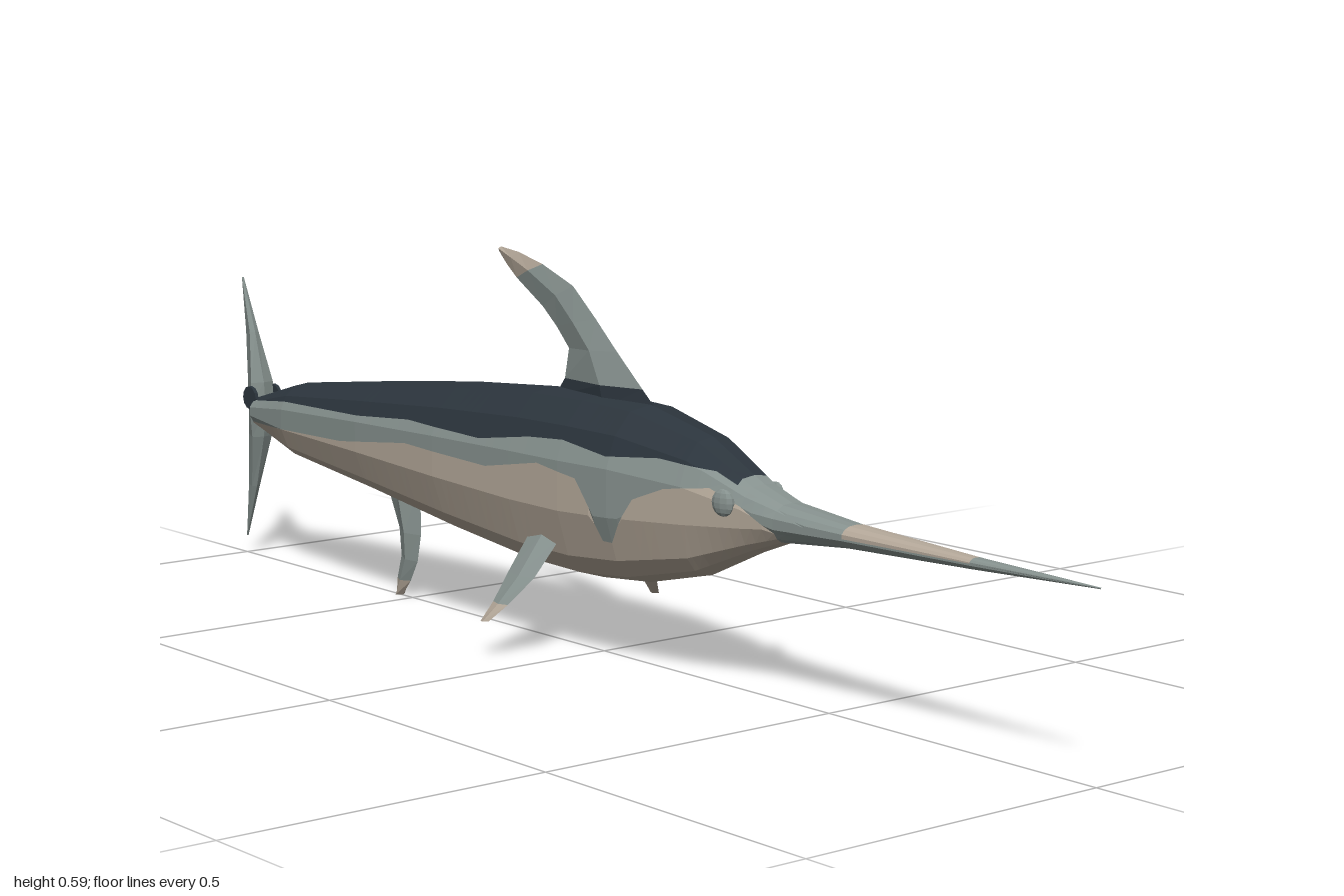
import * as THREE from 'three';

const material = (name, color) => Object.assign(new THREE.MeshStandardMaterial({ color, flatShading: true }), { name });

// Piecewise-linear lookup: rows of [key, value...], keys descending
function sample(rows, key, col) {
  let i = 0;
  while (i < rows.length - 2 && key < rows[i + 1][0]) i++;
  const a = rows[i], b = rows[i + 1];
  const t = THREE.MathUtils.clamp((key - a[0]) / (b[0] - a[0]), 0, 1);
  return a[col] + (b[col] - a[col]) * t;
}

// Body stations: z, top y, bottom y, half width
const BODY = [
  [1, 0.268, 0.266, 0.001], [0.78, 0.273, 0.257, 0.013], [0.55, 0.283, 0.25, 0.027],
  [0.42, 0.295, 0.238, 0.037], [0.36, 0.314, 0.215, 0.045], [0.25, 0.368, 0.165, 0.063],
  [0.11, 0.398, 0.132, 0.085], [0, 0.402, 0.122, 0.09], [-0.12, 0.4, 0.125, 0.09],
  [-0.32, 0.385, 0.148, 0.088], [-0.55, 0.36, 0.178, 0.076], [-0.8, 0.33, 0.205, 0.055],
  [-0.93, 0.293, 0.24, 0.034], [-0.95, 0.268, 0.266, 0.001],
];
// Half cross-section from back to belly: height, width (both -1..1)
const SECTION = [[1, 0], [0.95, 0.47], [0.7, 0.81], [0.34, 1], [-0.2, 1], [-0.7, 0.77], [-0.9, 0.53], [-1, 0]];
// Lower edge of the dark back, and lower edge of the grey flank: z, y
const BACK_EDGE = [
  [1, 0.266], [0.5, 0.266], [0.36, 0.305], [0.3, 0.328], [0.2, 0.336], [0.1, 0.328], [0, 0.34],
  [-0.08, 0.335], [-0.2, 0.318], [-0.4, 0.322], [-0.55, 0.31], [-0.8, 0.302], [-0.95, 0.285],
];
const FLANK_EDGE = [
  [1, 0.262], [0.42, 0.255], [0.36, 0.285], [0.3, 0.305], [0.22, 0.295], [0.16, 0.272], [0.13, 0.23],
  [0.11, 0.2], [0.09, 0.2], [0.07, 0.25], [0.04, 0.288], [-0.05, 0.3], [-0.18, 0.278],
  [-0.4, 0.285], [-0.6, 0.262], [-0.95, 0.25],
];

// Collects faces by material and turns them into one mesh per colour
class Part {
  constructor(name) { this.name = name; this.bins = new Map(); }
  quad(mat, a, b, c, d) {
    if (!this.bins.has(mat)) this.bins.set(mat, []);
    const list = this.bins.get(mat);
    for (const tri of [[a, b, c], [a, c, d]]) {
      if (new THREE.Triangle(...tri).getArea() > 1e-9) tri.forEach((p) => list.push(p.x, p.y, p.z));
    }
  }
  build() {
    const group = new THREE.Group();
    group.name = this.name;
    for (const [mat, list] of this.bins) {
      const g = new THREE.BufferGeometry();
      g.setAttribute('position', new THREE.Float32BufferAttribute(list, 3));
      g.computeVertexNormals();
      const mesh = new THREE.Mesh(g, mat);
      mesh.name = `${this.name} ${mat.name}`;
      group.add(mesh);
    }
    return group;
  }
}

// Fin lofted through diamond sections, listed from bottom to top:
// [lead z, lead y, trail z, trail y, half thickness, x]; mats gives one colour per span
function fin(name, rows, mats, thickest = 0.45, side = 1) {
  const part = new Part(name);
  const rings = rows.map(([lz, ly, tz, ty, t, x = 0]) => {
    const mz = lz + (tz - lz) * thickest, my = ly + (ty - ly) * thickest, cx = x * side;
    return [[cx, ly, lz], [cx + t, my, mz], [cx, ty, tz], [cx - t, my, mz]].map((p) => new THREE.Vector3(...p));
  });
  for (let i = 0; i < rings.length - 1; i++) {
    for (let k = 0; k < 4; k++) {
      const n = (k + 1) % 4;
      part.quad(mats[i], rings[i][k], rings[i][n], rings[i + 1][n], rings[i + 1][k]);
    }
  }
  part.quad(mats[0], ...[...rings[0]].reverse());
  part.quad(mats[mats.length - 1], ...rings[rings.length - 1]);
  return part.build();
}

export function createModel() {
  const dark = material('dark back', 0x2c353d);
  const grey = material('grey flank', 0x87928f);
  const cream = material('cream belly', 0xb4a899);
  const model = new THREE.Group();
  model.name = 'swordfish';

  // Body and bill: each colour zone is the section clamped between two edge lines
  const body = new Part('body');
  const stations = new Set([...BODY, ...BACK_EDGE, ...FLANK_EDGE].map((r) => r[0]));
  for (let z = 0.5; z > -0.93; z -= 0.02) stations.add(Math.round(z * 100) / 100);
  stations.add(0.34);
  const zs = [...stations].sort((a, b) => b - a);

  const zonePoints = (z, zone) => {
    const top = sample(BODY, z, 1), bottom = sample(BODY, z, 2), width = sample(BODY, z, 3);
    const mid = (top + bottom) / 2, half = (top - bottom) / 2;
    const level = (rows) => THREE.MathUtils.clamp((sample(rows, z, 1) - mid) / half, -1, 1);
    const back = level(BACK_EDGE), flank = Math.min(level(FLANK_EDGE), back);
    const [lo, hi] = [[-1, flank], [flank, back], [back, 1]][zone];
    return SECTION.map(([v]) => {
      const h = THREE.MathUtils.clamp(v, lo, hi);
      return new THREE.Vector3(width * sample(SECTION, h, 1), mid + half * h, z);
    }).reverse();
  };
  const zoneColour = (z, zone) => {
    if (zone === 2) return z < 0.34 ? dark : z > 0.55 && z < 0.78 ? cream : grey;
    return zone === 1 || z > 0.42 ? grey : cream;
  };
  const mirror = (p) => new THREE.Vector3(-p.x, p.y, p.z);
  for (let zone = 0; zone < 3; zone++) {
    for (let i = 0; i < zs.length - 1; i++) {
      const a = zonePoints(zs[i], zone), b = zonePoints(zs[i + 1], zone);
      const mat = zoneColour((zs[i] + zs[i + 1]) / 2, zone);
      for (let k = 0; k < a.length - 1; k++) {
        const q = [a[k], b[k], b[k + 1], a[k + 1]];
        body.quad(mat, ...q);
        body.quad(mat, ...q.map(mirror).reverse());
      }
    }
  }
  model.add(body.build());

  // Swept dorsal fin with a dark root and pale tip
  model.add(fin('dorsal fin', [
    [0.13, 0.385, -0.12, 0.385, 0.016], [0.09, 0.418, -0.095, 0.415, 0.015],
    [0.03, 0.468, -0.085, 0.462, 0.012], [-0.02, 0.512, -0.115, 0.492, 0.01],
    [-0.075, 0.557, -0.15, 0.52, 0.008], [-0.15, 0.584, -0.215, 0.558, 0.006],
    [-0.21, 0.598, -0.24, 0.577, 0.005], [-0.255, 0.603, -0.26, 0.596, 0.003],
  ], [dark, grey, grey, grey, grey, cream, cream]));

  // Anal fin
  model.add(fin('anal fin', [
    [-0.528, 0.008, -0.545, 0.008, 0.009], [-0.505, 0.035, -0.542, 0.035, 0.01],
    [-0.485, 0.07, -0.53, 0.075, 0.011], [-0.475, 0.115, -0.535, 0.12, 0.015],
    [-0.475, 0.2, -0.575, 0.2, 0.018],
  ], [cream, grey, grey, grey]));

  // Crescent tail, thickest at its front root
  model.add(fin('tail fin', [
    [-0.998, 0.038, -1, 0.038, 0.002], [-0.965, 0.13, -0.991, 0.13, 0.008],
    [-0.94, 0.22, -0.988, 0.22, 0.02], [-0.933, 0.272, -0.987, 0.272, 0.028],
    [-0.937, 0.315, -0.988, 0.315, 0.022], [-0.962, 0.4, -0.991, 0.4, 0.009],
    [-0.998, 0.492, -1, 0.492, 0.002],
  ], [grey, grey, grey, grey, grey, grey], 0.12));

  for (const side of [1, -1]) {
    const label = side > 0 ? 'left' : 'right';

    // Pectoral fin angled down and outward
    model.add(fin(`${label} pectoral fin`, [
      [-0.07, 0.064, -0.09, 0.062, 0.005, 0.166], [-0.05, 0.09, -0.086, 0.09, 0.006, 0.145],
      [-0.028, 0.13, -0.092, 0.13, 0.008, 0.112], [-0.022, 0.19, -0.096, 0.19, 0.011, 0.064],
    ], [cream, grey, grey], 0.45, side));

    // Eye
    const eye = new THREE.Mesh(new THREE.SphereGeometry(0.02, 10, 8), grey);
    eye.name = `${label} eye`;
    eye.scale.x = 0.4;
    eye.position.set(side * 0.05, 0.288, 0.33);
    eye.rotation.y = -side * 0.17;
    model.add(eye);

    // Dark spot on the tail root
    const spot = new THREE.Mesh(new THREE.CylinderGeometry(0.02, 0.02, 0.006, 12), dark);
    spot.name = `${label} tail spot`;
    spot.rotation.z = Math.PI / 2;
    spot.position.set(side * 0.024, 0.29, -0.942);
    model.add(spot);
  }
  return model;
}
